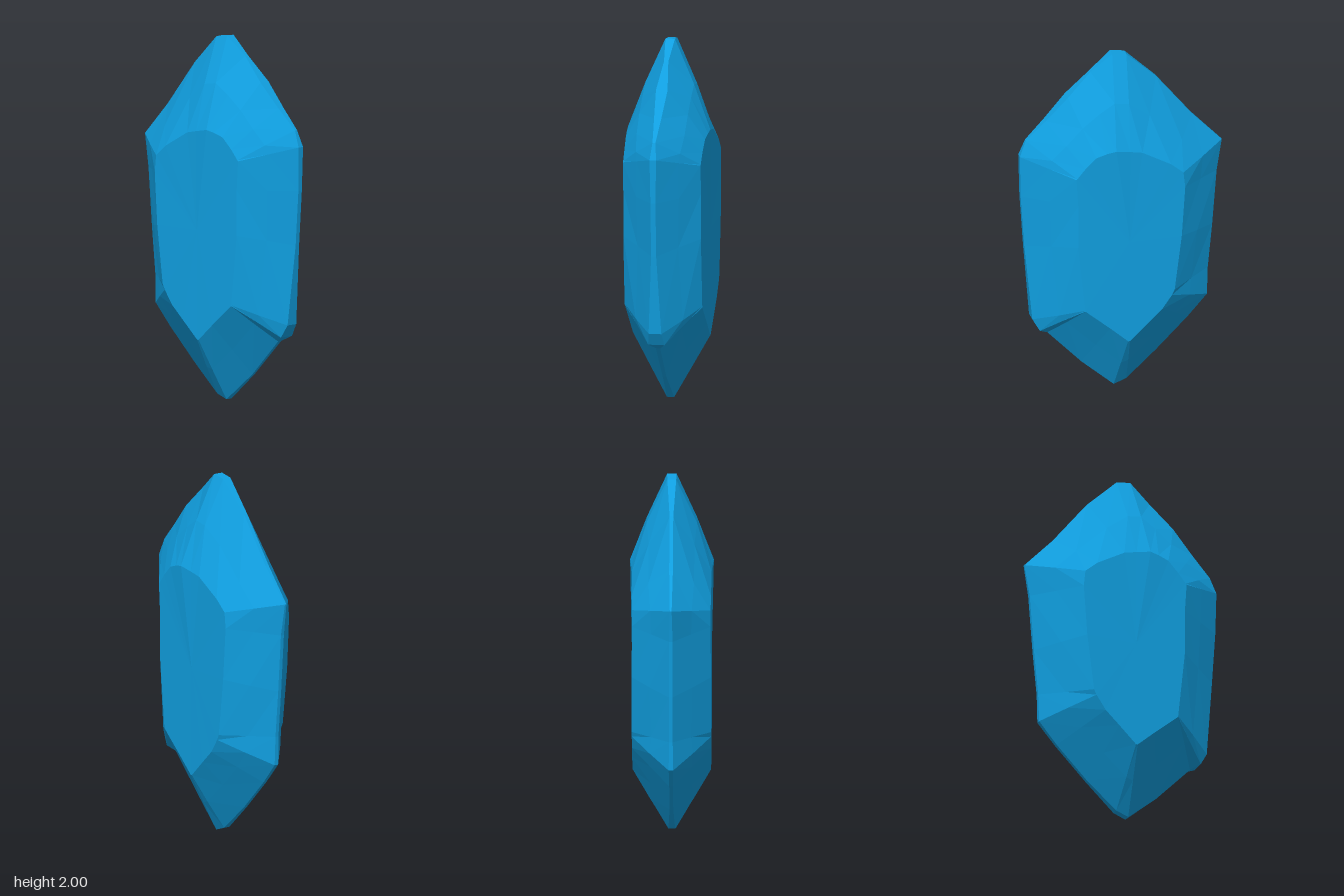
import * as THREE from 'three';

// Cross-section pairs, counterclockwise from the bottom tip:
// [rim x, rim y, rim half thickness, table x, table y, table depth]
const SECTIONS = [
  [-0.03, 0.03, 0.018, 0.00, 0.35, 0.213],
  [0.04, 0.005, 0.02, 0.01, 0.35, 0.213],
  [0.22, 0.16, 0.01, 0.11, 0.44, 0.214],
  [0.41, 0.36, 0.012, 0.25, 0.56, 0.214],
  [0.46, 0.39, 0.045, 0.25, 0.56, 0.214],
  [0.50, 0.46, 0.035, 0.25, 0.565, 0.214],
  [0.54, 0.90, 0.014, 0.29, 0.95, 0.214],
  [0.56, 1.20, 0.014, 0.29, 1.20, 0.214],
  [0.565, 1.44, 0.018, 0.30, 1.36, 0.214],
  [0.53, 1.53, 0.008, 0.295, 1.365, 0.214],
  [0.42, 1.64, 0.02, 0.25, 1.42, 0.215],
  [0.30, 1.77, 0.032, 0.19, 1.48, 0.218],
  [0.17, 1.90, 0.012, 0.13, 1.50, 0.223],
  [0.05, 2.00, 0.026, 0.08, 1.51, 0.227],
  [-0.03, 1.99, 0.024, 0.00, 1.495, 0.22],
  [-0.20, 1.83, 0.01, -0.07, 1.48, 0.216],
  [-0.40, 1.58, 0.01, -0.23, 1.39, 0.215],
  [-0.57, 1.40, 0.005, -0.30, 1.33, 0.213],
  [-0.54, 1.22, 0.01, -0.31, 1.24, 0.213],
  [-0.515, 0.90, 0.01, -0.29, 0.95, 0.215],
  [-0.49, 0.64, 0.01, -0.25, 0.63, 0.215],
  [-0.485, 0.48, 0.012, -0.235, 0.60, 0.215],
  [-0.38, 0.36, 0.01, -0.18, 0.52, 0.214],
  [-0.20, 0.18, 0.01, -0.10, 0.445, 0.214],
];

// Small repeatable wobble that breaks the bevels into chipped facets
const wobble = (i) => Math.sin(i * 2.7 + 0.6) * 0.004;

// Flat-sided geometry from a list of triangles
function facets(triangles) {
  const geometry = new THREE.BufferGeometry();
  geometry.setFromPoints(triangles.flat());
  geometry.computeVertexNormals();
  return geometry;
}

// Joins two closed rings with quads; the ring order sets the outward side
function band(a, b) {
  return a.flatMap((p, i) => {
    const j = (i + 1) % a.length;
    return [[p, a[j], b[j]], [p, b[j], b[i]]];
  });
}

export function createModel() {
  const group = new THREE.Group();
  group.name = 'crystal';
  const material = new THREE.MeshStandardMaterial({ color: 0x109fe0, flatShading: true });
  const add = (name, triangles) => {
    const mesh = new THREE.Mesh(facets(triangles), material);
    mesh.name = name;
    group.add(mesh);
  };

  const rims = {};
  for (const [name, side] of [['front', 1], ['back', -1]]) {
    const rim = SECTIONS.map(([x, y, z]) => new THREE.Vector3(x, y, z * side));
    const table = SECTIONS.map((s) => new THREE.Vector3(s[3], s[4], s[5] * side));
    // Middle of the bevel, a little fuller around the upper point
    const middle = rim.map((p, i) => {
      const m = p.clone().lerp(table[i], 0.5);
      const bulge = (p.y > 1.5 ? 0.012 : 0.001) + wobble(i);
      m.z += side * bulge;
      return m;
    });
    const centre = new THREE.Vector3(0, 0.95, 0.215 * side);
    const fan = table.map((p, i) => [centre, p, table[(i + 1) % table.length]]);
    const orient = (tris) => (side > 0 ? tris : tris.map(([a, b, c]) => [a, c, b]));

    add(`${name}Bevel`, orient([...band(rim, middle), ...band(middle, table)]));
    add(`${name}Table`, orient(fan));
    rims[name] = rim;
  }

  // Narrow girdle between the two halves
  add('girdle', band(rims.back, rims.front));
  return group;
}
